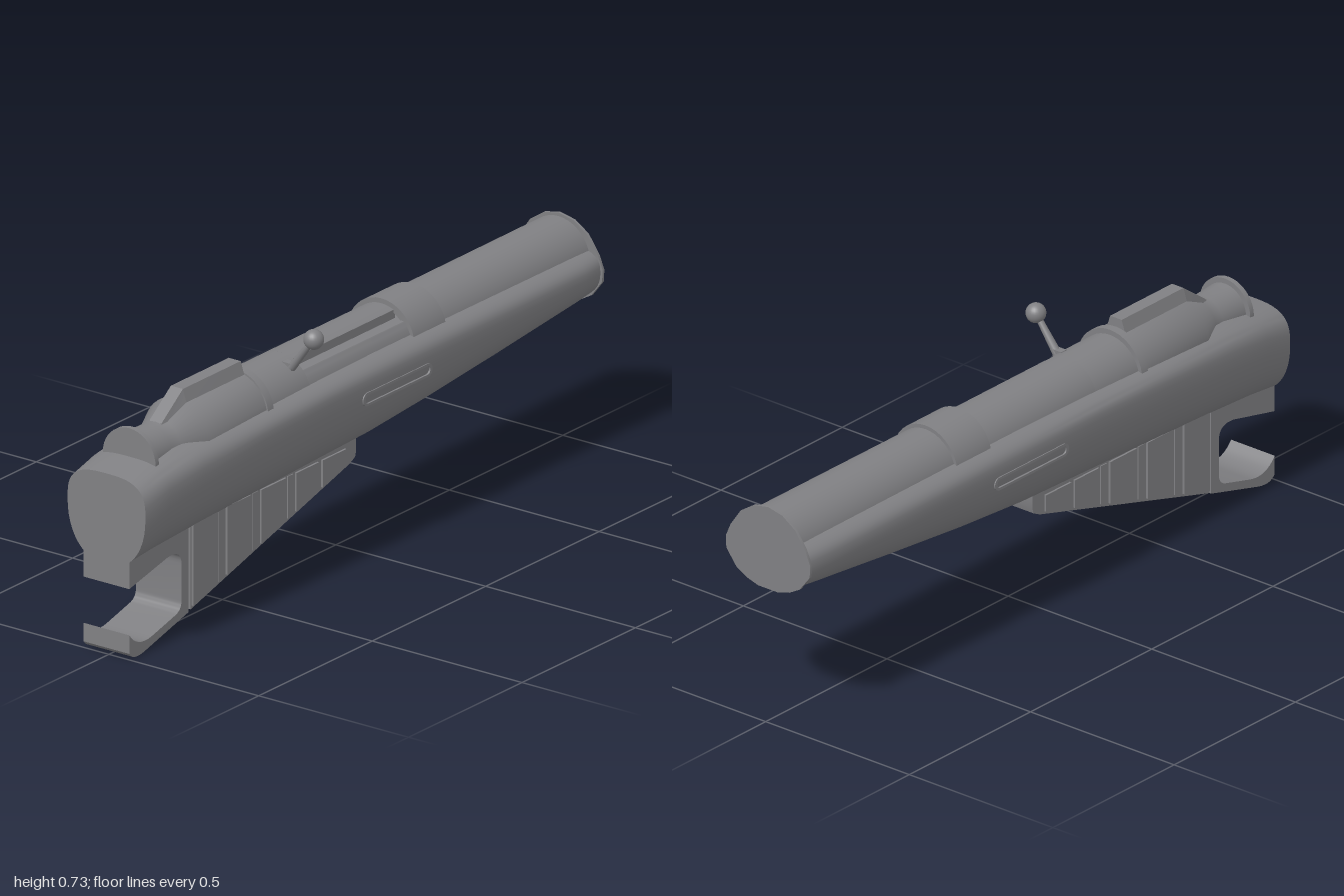
import * as THREE from 'three';
import { toCreasedNormals } from 'three/addons/utils/BufferGeometryUtils.js';

const ZC = -0.008; // centre plane of the body

// Skin equal-length rings of [x, y, z], ordered from +y towards +z, with capped ends
function loft(rings, crease = 0.6) {
  const n = rings[0].length, pos = rings.flat(2), idx = [];
  for (let i = 0; i < rings.length - 1; i++) {
    for (let j = 0; j < n; j++) {
      const k = (j + 1) % n, a = i * n + j, b = i * n + k;
      idx.push(a, b, a + n, b, b + n, a + n);
    }
  }
  [0, rings.length - 1].forEach((r) => {
    const c = pos.length / 3, ring = rings[r];
    pos.push(...[0, 1, 2].map((m) => ring.reduce((s, p) => s + p[m], 0) / n));
    for (let j = 0; j < n; j++) {
      const a = r * n + j, b = r * n + (j + 1) % n;
      if (r === 0) idx.push(c, b, a); else idx.push(c, a, b);
    }
  });
  const g = new THREE.BufferGeometry();
  g.setAttribute('position', new THREE.Float32BufferAttribute(pos, 3));
  g.setIndex(idx);
  return toCreasedNormals(g, crease);
}

// Turned part around the x axis from [x, radius] points
function turned(points, y) {
  const g = new THREE.LatheGeometry(points.map(([x, r]) => new THREE.Vector2(r, x)), 40);
  g.rotateZ(-Math.PI / 2);
  g.translate(0, y, ZC);
  return toCreasedNormals(g, 0.5);
}

// Side profile extruded evenly about the centre plane
function slab(shape, half) {
  const g = new THREE.ExtrudeGeometry(shape, { depth: 2 * half, bevelEnabled: false, curveSegments: 8 });
  g.translate(0, 0, ZC - half);
  return toCreasedNormals(g, 0.6);
}

const polygon = (pts) => new THREE.Shape(pts.map(([x, y]) => new THREE.Vector2(x, y)));

// Round-ended slot outline
function slot(path, x0, x1, y, r) {
  path.moveTo(x0 + r, y - r);
  path.lineTo(x1 - r, y - r);
  path.absarc(x1 - r, y, r, -Math.PI / 2, Math.PI / 2);
  path.lineTo(x0 + r, y + r);
  path.absarc(x0 + r, y, r, Math.PI / 2, Math.PI * 1.5);
  return path;
}

export function createModel() {
  const group = new THREE.Group();
  const steel = new THREE.MeshStandardMaterial({ color: 0x808083 });
  steel.name = 'grey';
  const add = (name, geometry) => {
    const m = new THREE.Mesh(geometry, steel);
    m.name = name;
    group.add(m);
    return m;
  };

  // Stock: stations of [x, top, widest height, bottom, half width]
  const stations = [
    [-1, 0.518, 0.42, 0.255, 0.13], [-0.9, 0.535, 0.45, 0.265, 0.137],
    [-0.75, 0.55, 0.47, 0.274, 0.143], [-0.5, 0.555, 0.49, 0.284, 0.147],
    [-0.2, 0.562, 0.5, 0.294, 0.147], [0.05, 0.565, 0.5, 0.303, 0.147],
    [0.3, 0.565, 0.5, 0.324, 0.147], [0.6, 0.565, 0.5, 0.358, 0.147],
    [0.92, 0.565, 0.5, 0.4, 0.146], [0.99, 0.565, 0.5, 0.409, 0.141],
  ];
  const N = 48;
  add('stock', loft(stations.map(([x, top, mid, bottom, w]) =>
    Array.from({ length: N }, (_, j) => {
      const a = (j / N) * Math.PI * 2, c = Math.cos(a), s = Math.sin(a);
      const e = c > 0 ? 2 / 3 : 2 / 2.2;
      const v = Math.abs(c) ** e;
      return [x, mid + (c > 0 ? v * (top - mid) : -v * (mid - bottom)),
        ZC + Math.sign(s) * Math.abs(s) ** e * w];
    }))));

  // Egg-shaped front plate
  const half = [[0, 0.64], [0.05, 0.63], [0.095, 0.6], [0.13, 0.55], [0.147, 0.51],
    [0.145, 0.475], [0.11, 0.43], [0.075, 0.41], [0.035, 0.398]];
  const egg = [...half, ...half.slice(1).reverse().map(([z, y]) => [-z, y])];
  add('frontPlate', loft([0.992, 1].map((x) => egg.map(([z, y]) => [x, y, ZC + z]))));

  // Upper tube, opened by a notch in the middle
  add('rearTube', turned([[-0.42, 0.103], [-0.235, 0.103]], 0.523));
  const notched = [];
  for (let d = 50; d <= 380; d += 6) {
    const a = THREE.MathUtils.degToRad(d);
    notched.push([0.523 + 0.103 * Math.cos(a), 0.103 * Math.sin(a)]);
  }
  notched.push([0.617, 0.042], [0.592, 0.042], [0.592, 0.076]);
  add('notchedTube', loft([-0.235, 0.215].map((x) => notched.map(([y, z]) => [x, y, ZC + z]))));
  add('frontTube', turned([[0.3, 0.104], [0.99, 0.106]], 0.525));
  add('band', turned([[0.21, 0.09], [0.21, 0.112], [0.35, 0.112], [0.35, 0.09]], 0.528));

  // Rear housing with end flange, neck and collar
  add('rearHousing', turned([[-0.9, 0], [-0.9, 0.088], [-0.885, 0.088], [-0.885, 0.073],
    [-0.8, 0.068], [-0.765, 0.073], [-0.69, 0.108], [-0.435, 0.108], [-0.435, 0.113],
    [-0.41, 0.113], [-0.41, 0.09]], 0.528));

  // Tapered rib on top of the housing
  const rib = (x, top, wTop, wBase) => [[x, top, ZC - wTop], [x, top, ZC + wTop],
    [x, 0.56, ZC + wBase], [x, 0.56, ZC - wBase]];
  add('topRib', loft([rib(-0.785, 0.597, 0.02, 0.03), rib(-0.69, 0.667, 0.02, 0.055),
    rib(-0.435, 0.667, 0.02, 0.055)], 0.2));

  // Side lever with ball
  const from = new THREE.Vector3(-0.265, 0.595, 0.045), to = new THREE.Vector3(-0.265, 0.703, 0.127);
  const lever = add('leverArm', new THREE.CylinderGeometry(0.008, 0.013, from.distanceTo(to), 14));
  lever.position.copy(from).lerp(to, 0.5);
  lever.quaternion.setFromUnitVectors(new THREE.Vector3(0, 1, 0), to.clone().sub(from).normalize());
  add('leverBall', new THREE.SphereGeometry(0.028, 24, 16)).position.copy(to);
  add('leverCollar', new THREE.BoxGeometry(0.022, 0.04, 0.03)).position.set(-0.265, 0.6, 0.045);

  // Slot frames on both flanks
  const frame = slot(new THREE.Shape(), -0.065, 0.24, 0.466, 0.019);
  frame.holes.push(slot(new THREE.Path(), -0.055, 0.23, 0.466, 0.012));
  for (const side of [1, -1]) {
    const g = new THREE.ExtrudeGeometry(frame, { depth: 0.009, bevelEnabled: false });
    g.translate(0, 0, ZC + side * 0.145 - 0.0045);
    add(side > 0 ? 'frontSlotFrame' : 'backSlotFrame', g);
  }

  // Wedge-shaped lower box with raised side panels
  const floor = (x) => 0.265 + (x + 0.01) * 0.281;
  add('lowerBox', slab(polygon([[-0.73, floor(-0.73)], [-0.03, floor(-0.03)], [-0.005, 0.272],
    [0, 0.29], [0, 0.325], [-0.73, 0.325]]), 0.076));
  const panels = [[-0.725, -0.62], [-0.61, -0.585], [-0.575, -0.47], [-0.46, -0.435],
    [-0.425, -0.315], [-0.305, -0.28], [-0.27, -0.17], [-0.155, -0.05]];
  panels.forEach(([a, b], i) => add('sidePanel' + (i + 1),
    slab(polygon([[a, floor(a) + 0.008], [b, floor(b) + 0.008], [b, 0.31], [a, 0.31]]),
      i % 2 && i < 7 ? 0.079 : 0.082)));

  // Open guard loop behind the box
  const guard = new THREE.Shape();
  guard.moveTo(-1, 0.3);
  guard.lineTo(-1, 0.205);
  guard.lineTo(-0.83, 0.243);
  guard.quadraticCurveTo(-0.77, 0.25, -0.77, 0.205);
  guard.lineTo(-0.77, 0.1);
  guard.quadraticCurveTo(-0.77, 0.073, -0.8, 0.066);
  guard.lineTo(-0.9, 0.04);
  guard.quadraticCurveTo(-0.965, 0.025, -1, 0.073);
  guard.lineTo(-1, 0.02);
  guard.quadraticCurveTo(-0.985, -0.005, -0.935, 0.006);
  guard.lineTo(-0.738, 0.058);
  guard.lineTo(-0.738, 0.3);
  add('guardLoop', slab(guard, 0.076));

  return group;
}
